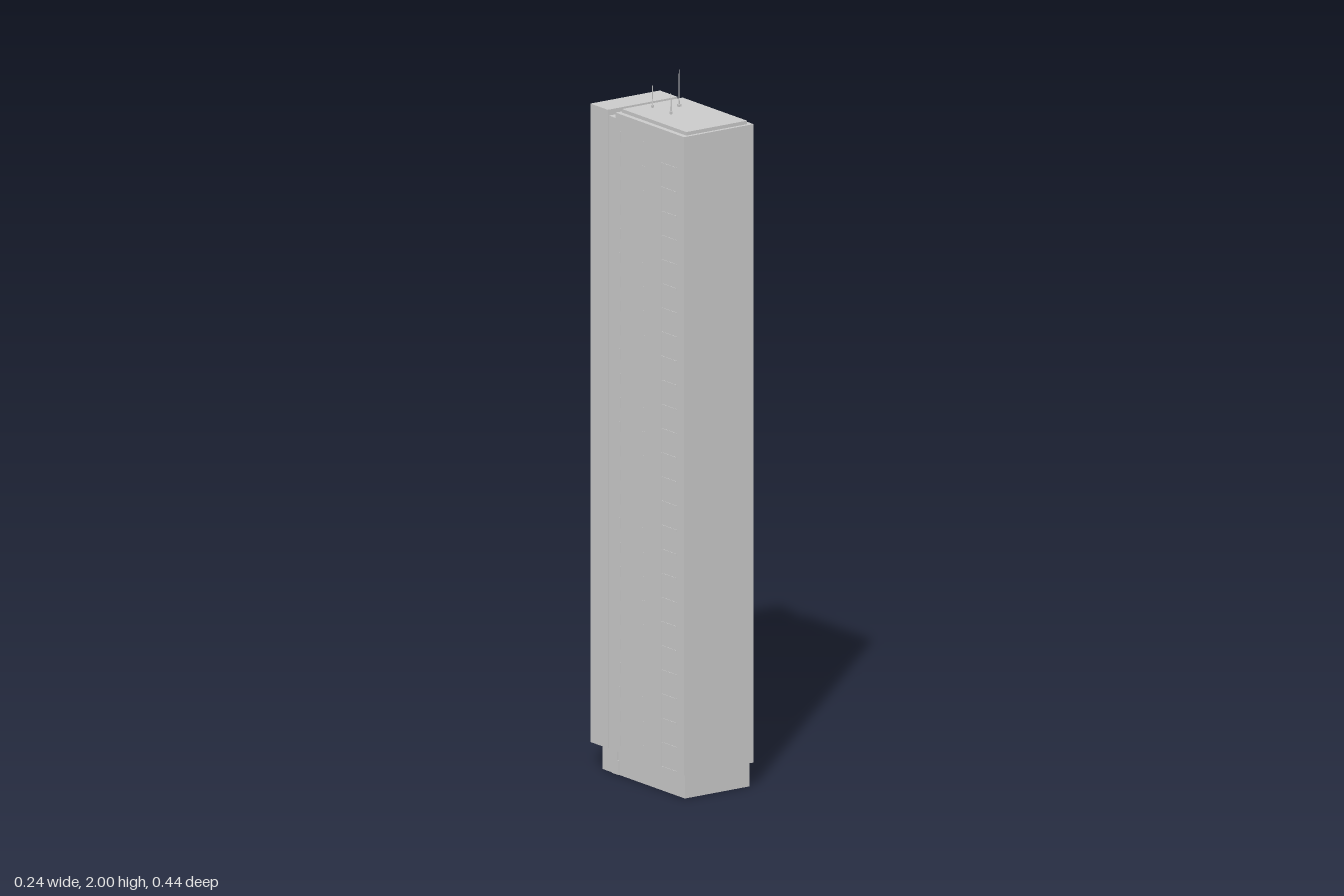
import * as THREE from 'three';

const material = new THREE.MeshStandardMaterial({ color: 0xcccccc, flatShading: true });
const FLOORS = 26, BOTTOM = 0.068, STOREY = 0.0687, TOP = 1.885;

export function createModel() {
  const model = new THREE.Group();
  model.name = 'tower';

  const group = (name) => {
    const g = new THREE.Group();
    g.name = name;
    model.add(g);
    return g;
  };
  // Box given by its limits on each axis
  const box = (name, [x0, x1], [y0, y1], [z0, z1], parent = model) => {
    const mesh = new THREE.Mesh(new THREE.BoxGeometry(x1 - x0, y1 - y0, z1 - z0), material);
    mesh.position.set((x0 + x1) / 2, (y0 + y1) / 2, (z0 + z1) / 2);
    mesh.name = name;
    parent.add(mesh);
    return mesh;
  };
  const rect = (Type, x0, x1, z0, z1) => {
    const s = new Type();
    s.moveTo(x0, -z0).lineTo(x0, -z1).lineTo(x1, -z1).lineTo(x1, -z0).closePath();
    return s;
  };

  // Ground floor with an open porch well near the back
  const plan = rect(THREE.Shape, -0.11, 0.11, -0.175, 0.212);
  plan.holes.push(rect(THREE.Path, -0.05, 0.05, -0.17, -0.115));
  const baseGeometry = new THREE.ExtrudeGeometry(plan, { depth: BOTTOM, bevelEnabled: false });
  baseGeometry.rotateX(-Math.PI / 2);
  const base = new THREE.Mesh(baseGeometry, material);
  base.name = 'groundFloor';
  model.add(base);
  box('rearTerrace', [-0.075, 0.075], [0, 0.025], [-0.221, -0.175]);
  for (const s of [-1, 1]) {
    box('sideDoor', [s * 0.111 - 0.002, s * 0.111 + 0.002], [0, 0.04], [-0.125, -0.095]);
  }

  // Main shaft, recessed joint and roof
  box('mainShaft', [-0.118, 0.118], [BOTTOM, TOP], [-0.102, 0.219]);
  box('recessedJoint', [-0.114, 0.114], [0.04, 1.868], [-0.14, -0.1]);
  box('roofSlab', [-0.103, 0.103], [TOP, 1.895], [-0.092, 0.209]);

  // Rear block: back wall, side fins and top band
  box('rearWall', [-0.116, 0.116], [BOTTOM, TOP], [-0.185, -0.138]);
  for (const s of [-1, 1]) {
    box('rearFin', [s * 0.115 - 0.003, s * 0.115 + 0.003], [BOTTOM, TOP], [-0.2195, -0.138]);
  }
  box('rearTopBand', [-0.112, 0.112], [BOTTOM + FLOORS * STOREY, TOP], [-0.2195, -0.185]);

  // Balconies on every storey
  const balconies = group('balconies');
  for (let i = 0; i < FLOORS; i++) {
    const y = BOTTOM + i * STOREY;
    box('balconyFloor', [-0.112, 0.112], [y, y + 0.007], [-0.219, -0.185], balconies);
    box('balconyParapet', [-0.112, 0.112], [y, y + 0.03], [-0.219, -0.215], balconies);
    box('balconyPier', [-0.075, -0.06], [y + 0.007, y + STOREY], [-0.205, -0.185], balconies);
    for (const [x0, x1] of [[-0.045, 0.02], [0.035, 0.1]]) {
      box('windowHead', [x0, x1], [y + 0.054, y + 0.058], [-0.189, -0.185], balconies);
      for (const x of [x0, (x0 + x1) / 2, x1]) {
        box('windowPost', [x - 0.002, x + 0.002], [y + 0.007, y + 0.055], [-0.188, -0.185], balconies);
      }
    }
  }

  // Window strips and small windows on both long sides
  const sides = group('sideWindows');
  for (const s of [-1, 1]) {
    const trim = (name, y, z, out = 0.0015) =>
      box(name, [s * 0.118 - out, s * 0.118 + out], y, z, sides);
    trim('stripPost', [BOTTOM, 1.787], [0.112, 0.116]);
    trim('stripEdge', [BOTTOM, 1.787], [0.184, 0.186], 0.0006);
    for (let i = 0; i < FLOORS; i++) {
      const y = BOTTOM + i * STOREY;
      trim('stripLedge', [y, y + 0.005], [0.112, 0.186]);
      trim('smallWindow', [y + 0.025, y + 0.045], [0.024, 0.034], 0.0006);
      trim('rearSlotWindow', [y + 0.02, y + 0.05], [-0.083, -0.077], 0.0006);
    }
  }

  // Roof masts
  for (const [x, z, top, size] of [
    [-0.026, -0.056, 1.958, 0.006], [-0.026, 0.03, 1.955, 0.006], [0.04, -0.022, 2, 0.009],
  ]) {
    const mast = group('roofMast');
    box('mastFoot', [x - size / 2, x + size / 2], [1.895, 1.902], [z - size / 2, z + size / 2], mast);
    const pole = new THREE.Mesh(new THREE.CylinderGeometry(0.001, 0.0018, top - 1.895, 6), material);
    pole.position.set(x, (top + 1.895) / 2, z);
    pole.name = 'mastPole';
    mast.add(pole);
  }

  return model;
}
